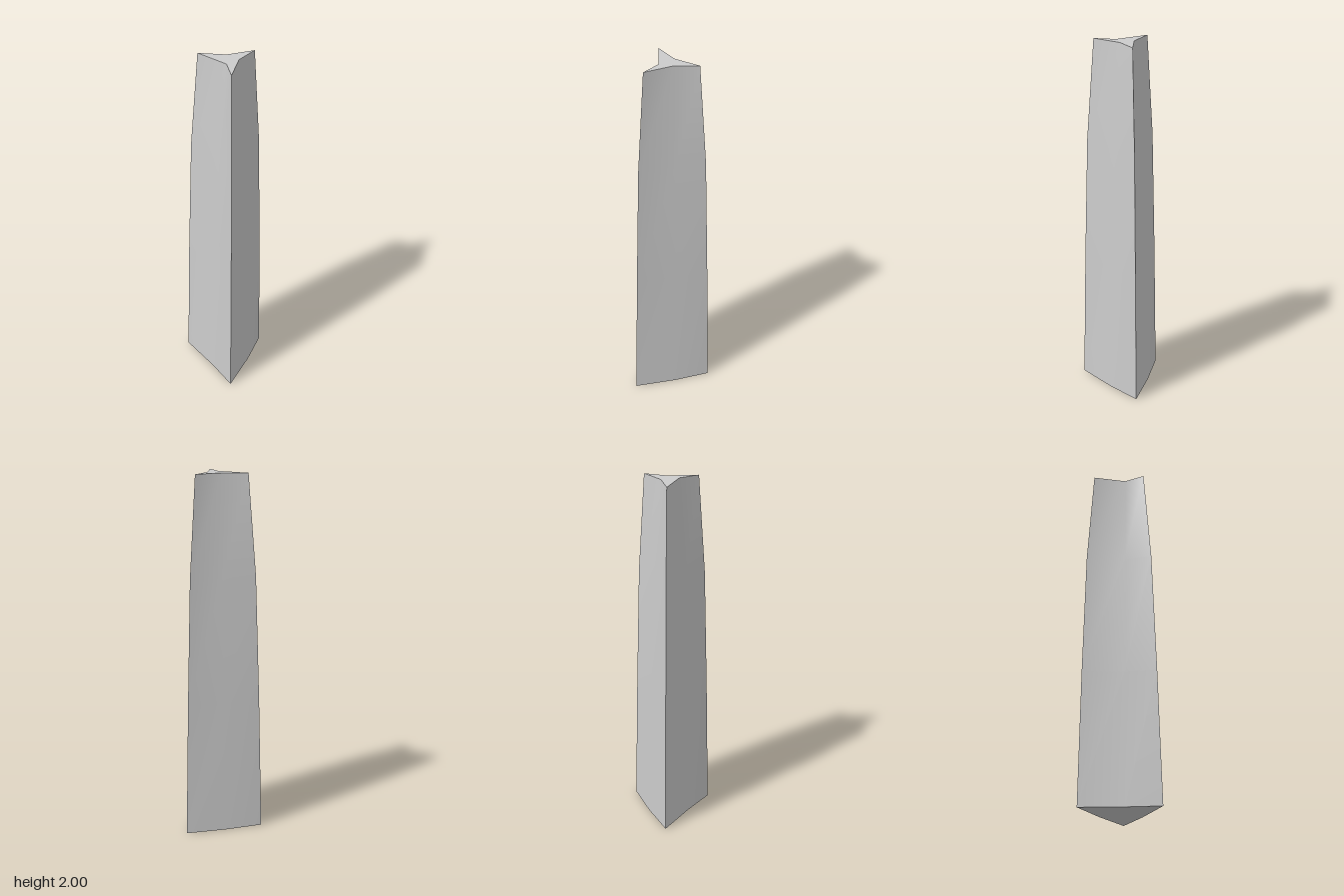
import * as THREE from 'three';

// Cross-sections of the post: height, then [x, z] of corner, flute, corner, flute, corner, flute
const RINGS = [
  { y: 0, pts: [[-0.195, 0], [0.02, 0.116], [0.184, 0.218], [0.193, -0.02], [0.184, -0.219], [-0.01, -0.117]] },
  { y: 0.75, pts: [[-0.177, 0], [0.032, 0.1], [0.174, 0.201], [0.172, -0.02], [0.174, -0.202], [0, -0.101]] },
  { y: 1.45, pts: [[-0.154, 0], [0.046, 0.081], [0.162, 0.181], [0.151, -0.02], [0.162, -0.182], [0.011, -0.081]] },
  { y: 2, pts: [[-0.11, 0], [0.07, 0.047], [0.14, 0.144], [0.108, -0.02], [0.14, -0.146], [0.03, -0.045]] },
];

function makeGeometry(positions, index) {
  const geometry = new THREE.BufferGeometry();
  geometry.setAttribute('position', new THREE.Float32BufferAttribute(positions, 3));
  geometry.setIndex(index);
  geometry.computeVertexNormals();
  return geometry;
}

// One fluted side between two sharp corners; its own vertices keep the corners crisp
function sideGeometry(side) {
  const positions = [];
  const index = [];
  RINGS.forEach(({ y, pts }, row) => {
    for (let col = 0; col < 3; col++) {
      const [x, z] = pts[(side * 2 + col) % 6];
      positions.push(x, y, z);
      if (row > 0 && col > 0) {
        const b = (row - 1) * 3 + col;
        const a = b - 1;
        index.push(a, b, b + 3, a, b + 3, a + 3);
      }
    }
  });
  return makeGeometry(positions, index);
}

// Flat end cap, fanned from a point inside the section
function capGeometry({ y, pts }, facesUp) {
  const positions = [0.07, y, 0];
  const index = [];
  pts.forEach(([x, z], i) => {
    positions.push(x, y, z);
    const a = i + 1;
    const b = ((i + 1) % 6) + 1;
    index.push(0, facesUp ? a : b, facesUp ? b : a);
  });
  return makeGeometry(positions, index);
}

export function createModel() {
  const model = new THREE.Group();
  model.name = 'flutedPost';
  const material = new THREE.MeshStandardMaterial({ color: 0xcccccc });

  const add = (name, geometry) => {
    const mesh = new THREE.Mesh(geometry, material);
    mesh.name = name;
    model.add(mesh);
  };

  // Three tapering sides
  ['frontSide', 'leftSide', 'backSide'].forEach((name, i) => add(name, sideGeometry(i)));

  // Ends
  add('topCap', capGeometry(RINGS[RINGS.length - 1], true));
  add('bottomCap', capGeometry(RINGS[0], false));

  return model;
}
